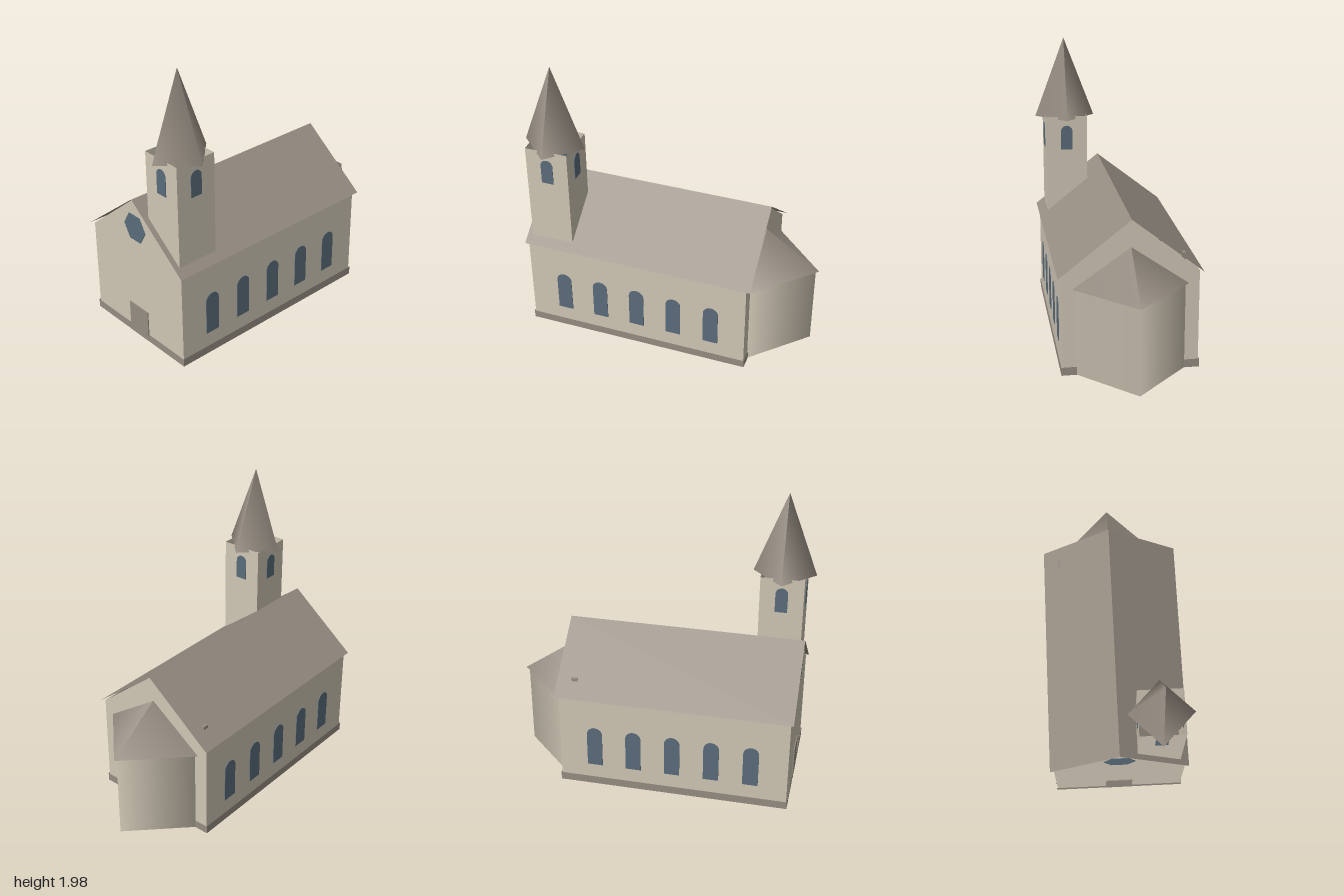
import * as THREE from 'three';

const CX = -0.005;                       // nave centre line
const HALF = 0.45, FRONT = 0.952, BACK = -0.616;
const EAVE = 0.68, RIDGE = 1.055;
const TOWER = { x: 0.263, z: 0.785, half: 0.148, top: 1.43 };

export function createModel() {
  const group = new THREE.Group();
  const material = (name, color) => {
    const m = new THREE.MeshStandardMaterial({ color, side: THREE.DoubleSide });
    m.name = name;
    return m;
  };
  const plaster = material('plaster', 0xd0c7b5);
  const slate = material('slate', 0x968d82);
  const glass = material('glass', 0x5a6c7b);

  const add = (name, geometry, mat, x = 0, y = 0, z = 0, turn = 0) => {
    const mesh = new THREE.Mesh(geometry, mat);
    mesh.name = name;
    mesh.position.set(x, y, z);
    mesh.rotation.y = turn;
    group.add(mesh);
    return mesh;
  };

  // Four upright sheets, open at top and bottom
  const openBox = (name, mat, x, z, w, d, h) => {
    for (const s of [1, -1]) {
      const faceTurn = s > 0 ? 0 : Math.PI;
      add(name, new THREE.PlaneGeometry(w, h), mat, x, h / 2, z + s * d / 2, faceTurn);
      add(name, new THREE.PlaneGeometry(d, h), mat, x + s * w / 2, h / 2, z, s * Math.PI / 2);
    }
  };

  // Thin plate centred on its wall, so it shows on both sides
  const plate = (shape) => {
    const g = new THREE.ExtrudeGeometry(shape, { depth: 0.008, bevelEnabled: false, curveSegments: 10 });
    return g.translate(0, 0, -0.004);
  };
  const archedPane = (w, h) => {
    const r = w / 2, s = new THREE.Shape();
    s.moveTo(-r, 0);
    s.lineTo(r, 0);
    s.lineTo(r, h - r);
    s.absarc(0, h - r, r, 0, Math.PI, false);
    s.closePath();
    return plate(s);
  };

  // Nave: two gable ends and two long walls
  const gable = new THREE.Shape([
    [-HALF, 0], [HALF, 0], [HALF, EAVE], [0, RIDGE - 0.002], [-HALF, EAVE],
  ].map(([x, y]) => new THREE.Vector2(x, y)));
  add('frontGable', new THREE.ShapeGeometry(gable), plaster, CX, 0, FRONT);
  add('backGable', new THREE.ShapeGeometry(gable), plaster, CX, 0, BACK, Math.PI);
  const naveLength = FRONT - BACK, naveZ = (FRONT + BACK) / 2;
  const sideWindow = archedPane(0.106, 0.298);
  for (const s of [1, -1]) {
    const x = CX + s * HALF, turn = s * Math.PI / 2;
    add('sideWall', new THREE.PlaneGeometry(naveLength, EAVE), plaster, x, EAVE / 2, naveZ, turn);
    for (let i = 0; i < 5; i++) {
      add('sideWindow', sideWindow, glass, x, 0.157, 0.702 - i * 0.269, turn);
    }
  }

  // Plinth band round the foot of the walls
  openBox('plinth', slate, CX, naveZ, 2 * HALF + 0.014, naveLength + 0.012, 0.057);

  // Roof: two thin slopes overhanging the walls
  const rise = RIDGE - EAVE, run = 0.474;
  const roofLength = 1.615, roofZ = 0.163;
  for (const s of [1, -1]) {
    const slope = new THREE.PlaneGeometry(Math.hypot(run, rise), roofLength);
    slope.rotateX(-Math.PI / 2);
    slope.rotateZ(-s * Math.atan2(rise, run));
    add('roofSlope', slope, slate, CX + s * run / 2, (EAVE + RIDGE) / 2, roofZ);
  }

  // Small roof vent
  add('roofVent', new THREE.BoxGeometry(0.022, 0.08, 0.042), slate, -0.366, 0.74, -0.525);

  // Door and six-sided gable window
  add('door', new THREE.BoxGeometry(0.19, 0.23, 0.008), slate, CX, 0.115, FRONT + 0.003);
  const hexagon = new THREE.Shape();
  for (let i = 0; i < 6; i++) {
    const a = i * Math.PI / 3;
    hexagon[i ? 'lineTo' : 'moveTo'](0.107 * Math.cos(a), 0.107 * Math.sin(a));
  }
  add('gableWindow', plate(hexagon), glass, CX, 0.84, FRONT);

  // Tower: open square shaft with a window on each side and a four-sided spire
  const { x: tx, z: tz, half: th, top } = TOWER;
  openBox('towerWall', plaster, tx, tz, 2 * th, 2 * th, top);
  const towerWindow = archedPane(0.084, 0.177);
  for (let i = 0; i < 4; i++) {
    const a = i * Math.PI / 2;
    add('towerWindow', towerWindow, glass, tx + th * Math.sin(a), 1.185, tz + th * Math.cos(a), a);
  }
  add('spire', new THREE.ConeGeometry(0.214, 0.57, 4, 1, true), slate, tx, 1.41 + 0.285, tz);

  // Apse: four-sided shaft set cornerwise in the back wall
  add('apseWall', new THREE.CylinderGeometry(0.357, 0.357, 0.6, 4, 1, true), plaster, CX, 0.3, -0.62);
  add('apseRoof', new THREE.ConeGeometry(0.38, 0.268, 4, 1, true), slate, CX, 0.597 + 0.134, -0.62);

  return group;
}
